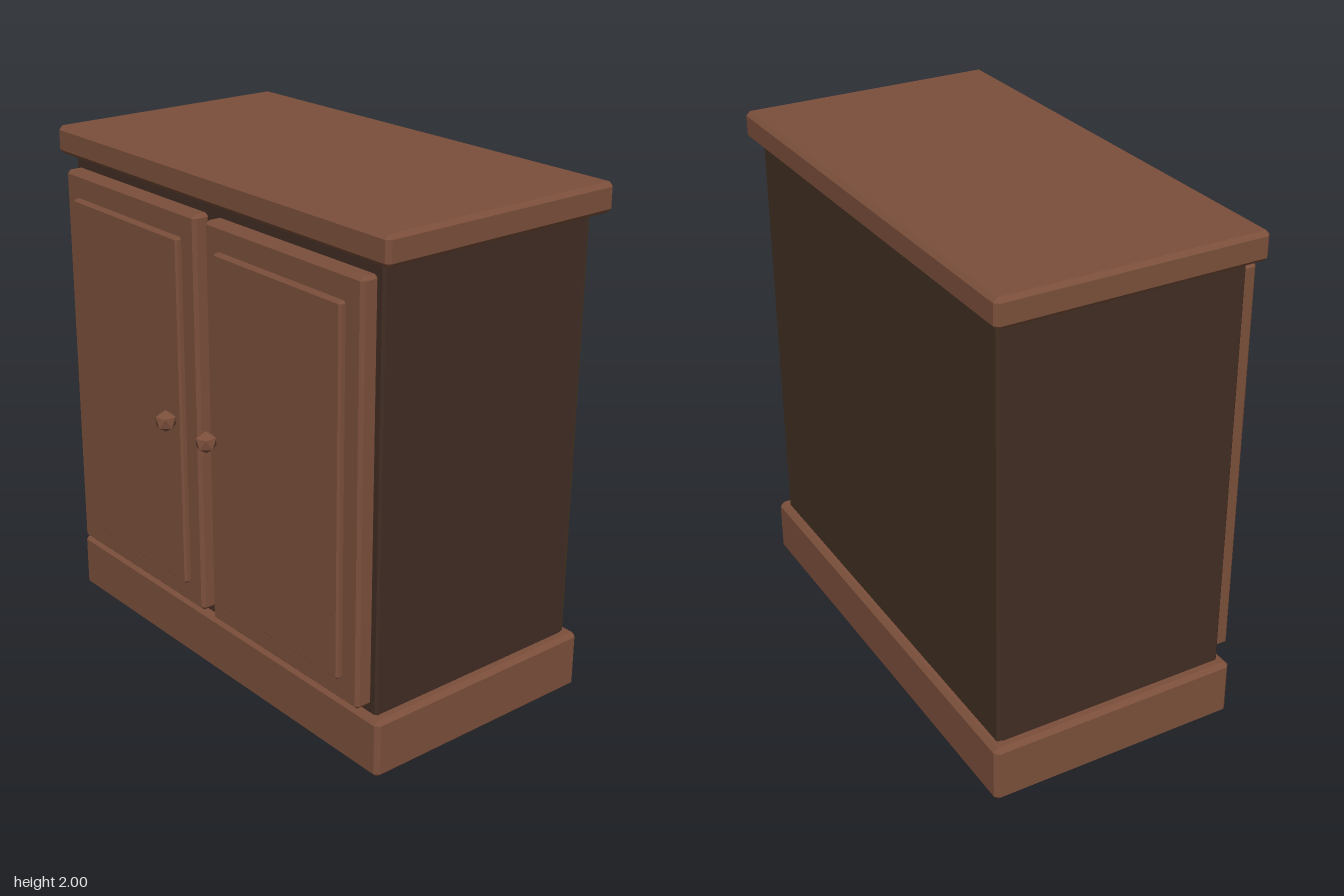
import * as THREE from 'three';
import { ConvexGeometry } from 'three/addons/geometries/ConvexGeometry.js';

const material = (name, color) => {
  const m = new THREE.MeshStandardMaterial({ color, flatShading: true });
  m.name = name;
  return m;
};

// Box with all edges chamfered by c, given as [min, max] along each axis
function chamferBox([x0, x1], [y0, y1], [z0, z1], c) {
  const half = [(x1 - x0) / 2, (y1 - y0) / 2, (z1 - z0) / 2];
  const points = [];
  for (const sx of [-1, 1]) for (const sy of [-1, 1]) for (const sz of [-1, 1]) {
    for (let face = 0; face < 3; face++) {
      const p = half.map((h, axis) => (axis === face ? h : h - c));
      points.push(new THREE.Vector3(sx * p[0], sy * p[1], sz * p[2]));
    }
  }
  const g = new ConvexGeometry(points);
  return g.translate((x0 + x1) / 2, (y0 + y1) / 2, (z0 + z1) / 2);
}

export function createModel() {
  const wood = material('warm wood', 0x7b4f3b);
  const darkWood = material('dark wood', 0x412d24);
  const backWood = material('back board wood', 0x422f23);

  const model = new THREE.Group();
  model.name = 'cabinet';
  const add = (name, geometry, mat, parent = model) => {
    const mesh = new THREE.Mesh(geometry, mat);
    mesh.name = name;
    parent.add(mesh);
    return mesh;
  };

  // Carcass
  add('body', chamferBox([-0.905, 0.905], [0.02, 1.95], [-0.535, 0.407], 0.008), darkWood);
  add('backBoard', chamferBox([-0.9, 0.9], [0.1, 1.93], [-0.548, -0.525], 0.004), backWood);
  add('plinth', chamferBox([-0.948, 0.948], [0, 0.232], [-0.58, 0.438], 0.017), wood);
  add('top', chamferBox([-0.97, 0.97], [1.89, 2], [-0.59, 0.45], 0.016), wood);

  // Doors, each with a raised panel and a faceted knob
  for (const [name, s] of [['left', 1], ['right', -1]]) {
    const door = new THREE.Group();
    door.name = name + 'Door';
    model.add(door);
    const span = (a, b) => (s > 0 ? [a, b] : [-b, -a]);
    add('doorSlab', chamferBox(span(0.031, 0.879), [0.265, 1.846], [0.4, 0.474], 0.013), wood, door);
    add('doorPanel', chamferBox(span(0.111, 0.798), [0.36, 1.75], [0.45, 0.498], 0.008), wood, door);
    // Icosahedron turned so that one corner points straight up
    const knob = new THREE.IcosahedronGeometry(0.043, 0);
    knob.rotateZ(Math.atan(2 / (1 + Math.sqrt(5))));
    add('knob', knob, wood, door).position.set(s * 0.127, 1.056, 0.555);
  }
  return model;
}
